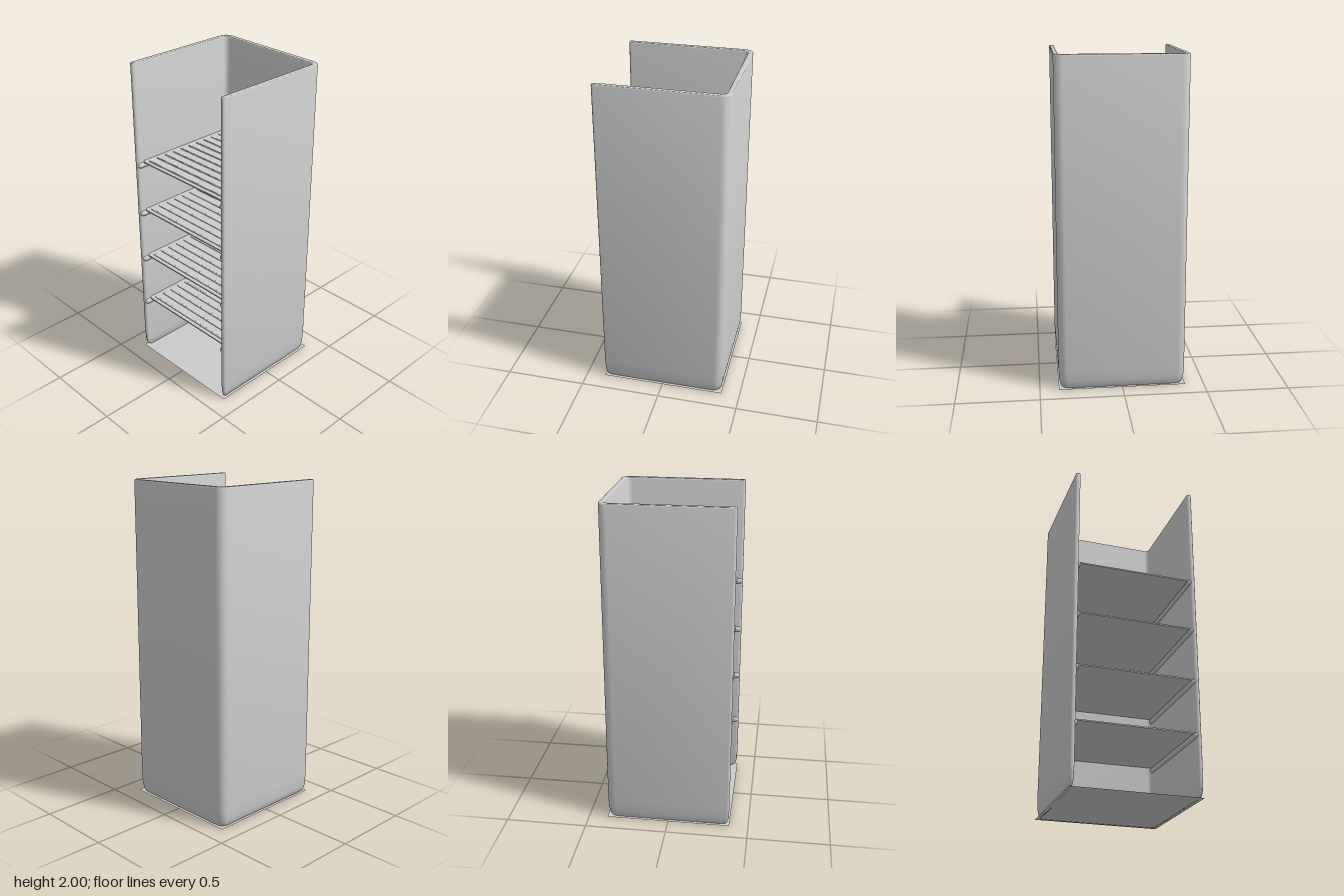
import * as THREE from 'three';
import { toCreasedNormals } from 'three/addons/utils/BufferGeometryUtils.js';
import { RoundedBoxGeometry } from 'three/addons/geometries/RoundedBoxGeometry.js';

const material = new THREE.MeshStandardMaterial({ color: 0xcccccc, side: THREE.DoubleSide });

function add(parent, name, geometry, x = 0, y = 0, z = 0) {
  const mesh = new THREE.Mesh(geometry, material);
  mesh.name = name;
  mesh.position.set(x, y, z);
  parent.add(mesh);
  return mesh;
}

// One side of a U-shaped outline: front tip, straight side, rounded back corner, mirrored.
function uPath(halfWidth, tipX, front, cornerRadius) {
  const half = [];
  const tip = halfWidth - tipX; // signed radius of the rounded front end
  const r = Math.abs(tip);
  for (let i = 0; i <= 5; i++) {
    const a = (i / 5) * Math.PI / 2;
    half.push([tipX + tip * Math.sin(a), front - r + r * Math.cos(a)]);
  }
  for (let i = 0; i <= 8; i++) {
    const a = (i / 8) * Math.PI / 2;
    half.push([
      halfWidth - cornerRadius + cornerRadius * Math.cos(a),
      -halfWidth + cornerRadius - cornerRadius * Math.sin(a),
    ]);
  }
  return [...half, ...half.slice().reverse().map(([x, z]) => [-x, z])];
}

// Three-sided shell lofted through U-shaped sections, tapering to a rounded foot.
function shellGeometry() {
  // height, outer half width, inner half width, front z
  const levels = [
    [0, 0.366, 0.362, 0.335],
    [0.006, 0.371, 0.361, 0.356],
    [0.02, 0.377, 0.36, 0.37],
    [0.05, 0.382, 0.357, 0.379],
    [0.12, 0.385, 0.355, 0.382],
    [1.992, 0.385, 0.355, 0.382],
    [1.998, 0.383, 0.357, 0.38],
    [2, 0.38, 0.36, 0.377],
  ];
  const positions = [];
  const index = [];
  let n = 0;
  for (const [y, outer, inner, front] of levels) {
    const mid = (outer + inner) / 2;
    const ring = [
      ...uPath(outer, mid, front, 0.05),
      ...uPath(inner, mid, front, 0.028).reverse(),
    ];
    n = ring.length;
    for (const [x, z] of ring) positions.push(x, y, z);
  }
  for (let k = 0; k < levels.length - 1; k++) {
    for (let j = 0; j < n; j++) {
      const a = k * n + j;
      const b = k * n + (j + 1) % n;
      index.push(a, b, b + n, a, b + n, a + n);
    }
  }
  // Flat top rim
  const top = (levels.length - 1) * n;
  for (let j = 0; j < n / 2 - 1; j++) {
    const a = top + j, d = top + n - 1 - j;
    index.push(a, a + 1, d - 1, a, d - 1, d);
  }
  const geometry = new THREE.BufferGeometry();
  geometry.setAttribute('position', new THREE.Float32BufferAttribute(positions, 3));
  geometry.setIndex(index);
  return toCreasedNormals(geometry, 0.8);
}

// Thin plate with rounded corners, lying flat with its underside at y = 0.
function plateGeometry(halfWidth, back, front, radius, thickness) {
  const s = new THREE.Shape();
  const w = halfWidth, r = radius;
  s.absarc(w - r, -back - r, r, 0, Math.PI / 2);
  s.absarc(-w + r, -back - r, r, Math.PI / 2, Math.PI);
  s.absarc(-w + r, -front + r, r, Math.PI, Math.PI * 1.5);
  s.absarc(w - r, -front + r, r, Math.PI * 1.5, Math.PI * 2);
  const g = new THREE.ExtrudeGeometry(s, { depth: thickness, bevelEnabled: false, curveSegments: 6 });
  return toCreasedNormals(g.rotateX(-Math.PI / 2), 0.6);
}

export function createModel() {
  const model = new THREE.Group();
  model.name = 'shelfCabinet';

  add(model, 'shell', shellGeometry());

  // Flat base sheet
  const base = new THREE.PlaneGeometry(0.77, 0.768).rotateX(-Math.PI / 2);
  add(model, 'floor', base, 0, 0.001, -0.001);

  // Shelves with raised ribs, resting on a rounded rail along each side wall
  const plate = plateGeometry(0.354, -0.354, 0.348, 0.022, 0.008);
  const rib = new RoundedBoxGeometry(0.65, 0.01, 0.013, 2, 0.004);
  const rail = new THREE.CapsuleGeometry(0.018, 0.7, 5, 14).rotateX(Math.PI / 2);

  [0.39, 0.72, 1.05, 1.38].forEach((y, i) => {
    const shelf = new THREE.Group();
    shelf.name = `shelf${i + 1}`;
    shelf.position.y = y;
    model.add(shelf);
    add(shelf, 'plate', plate, 0, -0.008, 0);
    for (let k = 0; k < 11; k++) {
      add(shelf, 'rib', rib, 0, -0.001, -0.32 + k * 0.0637);
    }
    for (const side of [-1, 1]) {
      add(shelf, side > 0 ? 'leftRail' : 'rightRail', rail, side * 0.357, -0.026, 0.012);
    }
  });

  return model;
}
